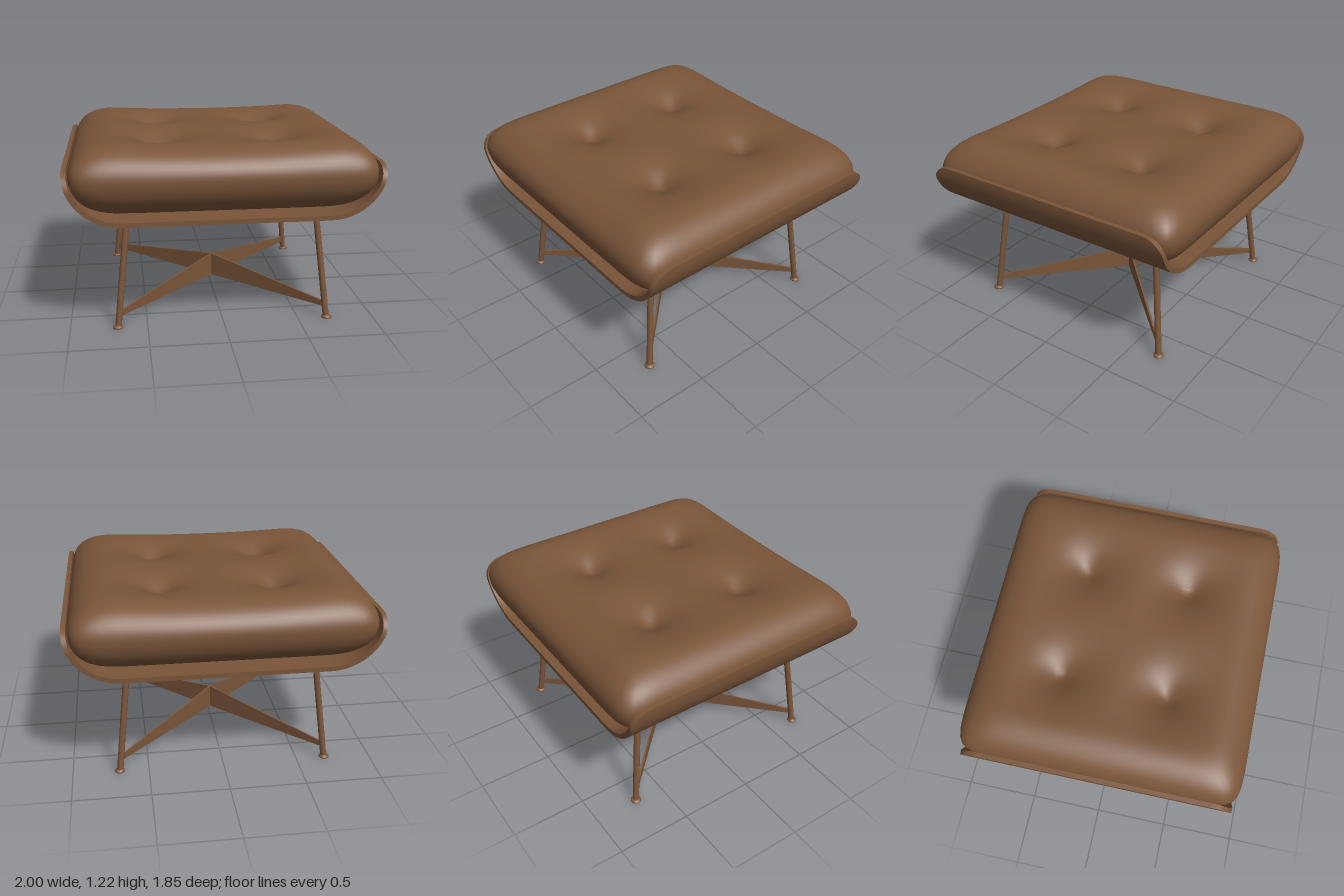
import * as THREE from 'three';
import { toCreasedNormals } from 'three/addons/utils/BufferGeometryUtils.js';

const brown = new THREE.MeshStandardMaterial({ color: 0x7a5539 });

function addMesh(parent, name, geometry) {
  const mesh = new THREE.Mesh(geometry, brown);
  mesh.name = name;
  parent.add(mesh);
  return mesh;
}

function indexed(positions, index) {
  const g = new THREE.BufferGeometry();
  g.setAttribute('position', new THREE.Float32BufferAttribute(positions, 3));
  g.setIndex(index);
  g.computeVertexNormals();
  return g;
}

// Bent tray: U-shaped profile along x, with rounded upper corners
function shellGeometry() {
  const pos = [], idx = [], N = 20, rimY = 1.08;
  const station = (side, a) => {
    const c = Math.cos(a), s = Math.sin(a);
    const xo = side * (0.65 + 0.35 * c), yo = rimY - 0.345 * s;
    const xi = side * (0.65 + 0.32 * c), yi = rimY - 0.315 * s;
    const k = (yo - 0.95) / 0.13;
    const w = k > 0 ? 0.75 + 0.14 * Math.sqrt(Math.max(0, 1 - k * k)) : 0.89 - 0.01 * (0.95 - yo) / 0.215;
    pos.push(xo, yo, w, xo, yo, -w, xi, yi, -w, xi, yi, w);
  };
  const angle = (i) => (Math.PI / 2) * Math.pow(i / N, 1.5);
  for (let i = 0; i <= N; i++) station(-1, angle(i));
  for (let i = N; i >= 0; i--) station(1, angle(i));
  const last = 2 * N + 1;
  for (let i = 0; i < last; i++) {
    for (let j = 0; j < 4; j++) {
      const a = i * 4 + j, a1 = i * 4 + (j + 1) % 4;
      idx.push(a, a1, a + 4, a1, a1 + 4, a + 4);
    }
  }
  const e = last * 4;
  idx.push(0, 2, 1, 0, 3, 2, e, e + 1, e + 2, e, e + 2, e + 3);
  return toCreasedNormals(indexed(pos, idx), 0.6);
}

// Plump cushion: rounded-square rings from the bottom centre to the top centre
function cushionGeometry() {
  const hx = 0.97, hz = 0.925, midY = 1.02, bottom = 0.772, top = 1.2;
  const rings = [], pos = [], idx = [], perSide = 32, count = perSide * 4;
  const arc = 12, inner = 26;
  for (let i = 0; i < 4; i++) rings.push([(hx - 0.3) * i / 4, (hz - 0.27) * i / 4, bottom, 0]);
  for (let i = 0; i <= arc; i++) {
    const t = (i / arc - 1) * Math.PI / 2, d = 1 - Math.cos(t);
    rings.push([hx - 0.3 * d, hz - 0.27 * d, midY + (midY - bottom) * Math.sin(t), 0]);
  }
  for (let i = 1; i <= arc; i++) {
    const t = (i / arc) * Math.PI / 2, d = 0.25 * (1 - Math.cos(t));
    rings.push([hx - d, hz - d, midY + (top - midY) * Math.sin(t), Math.sin(t)]);
  }
  for (let i = inner - 1; i >= 0; i--) rings.push([(hx - 0.25) * i / inner, (hz - 0.25) * i / inner, top, 1]);

  for (const [ax, az, y, upper] of rings) {
    for (let k = 0; k < count; k++) {
      const f = (k % perSide) / perSide * 2 - 1;
      const [u, v] = [[1, f], [-f, 1], [-1, -f], [f, -1]][Math.floor(k / perSide)];
      const n = Math.pow(Math.pow(Math.abs(u), 14) + Math.pow(Math.abs(v), 14), -1 / 14);
      const x = ax * u * n, z = az * v * n;
      // Slightly raised sides and four tufted dimples
      const lift = 0.02 * Math.min(1, Math.abs(x) / 0.7) ** 2;
      const r = Math.hypot(Math.abs(x) - 0.38, Math.abs(z) - 0.35);
      const dimple = 0.11 * Math.exp(-Math.pow(r / 0.15, 1.5));
      pos.push(x, y + upper * (lift - dimple), z);
    }
  }
  for (let i = 0; i < rings.length - 1; i++) {
    for (let k = 0; k < count; k++) {
      const a = i * count + k, a1 = i * count + (k + 1) % count;
      idx.push(a, a + count, a1, a + count, a1 + count, a1);
    }
  }
  return indexed(pos, idx);
}

export function createModel() {
  const group = new THREE.Group();
  group.name = 'ottoman';
  addMesh(group, 'shell', shellGeometry());
  addMesh(group, 'cushion', cushionGeometry());

  // Four splayed legs with disc feet
  for (const sx of [-1, 1]) {
    for (const sz of [-1, 1]) {
      const name = (sz > 0 ? 'front' : 'back') + (sx > 0 ? 'Left' : 'Right');
      const path = new THREE.LineCurve3(
        new THREE.Vector3(sx * 0.69, 0.012, sz * 0.695),
        new THREE.Vector3(sx * 0.612, 0.745, sz * 0.612));
      addMesh(group, name + 'Leg', new THREE.TubeGeometry(path, 1, 0.021, 12));
      const foot = new THREE.LatheGeometry([
        [0, 0], [0.034, 0], [0.034, 0.008], [0.022, 0.018], [0, 0.018],
      ].map(([r, y]) => new THREE.Vector2(r, y)), 16);
      addMesh(group, name + 'Foot', toCreasedNormals(foot, 0.5)).position.set(sx * 0.693, 0, sz * 0.698);
    }
  }

  // Crossed brace plates, tallest where they meet
  const half = 0.955, thickness = 0.012;
  const plate = new THREE.Shape([
    [-half, 0.072], [half, 0.072], [half, 0.108], [0, 0.235], [-half, 0.108],
  ].map(([x, y]) => new THREE.Vector2(x, y)));
  const brace = new THREE.ExtrudeGeometry(plate, { depth: thickness, bevelEnabled: false });
  brace.translate(0, 0, -thickness / 2);
  for (const s of [-1, 1]) addMesh(group, 'crossBrace', brace).rotation.y = s * Math.PI / 4;

  return group;
}
